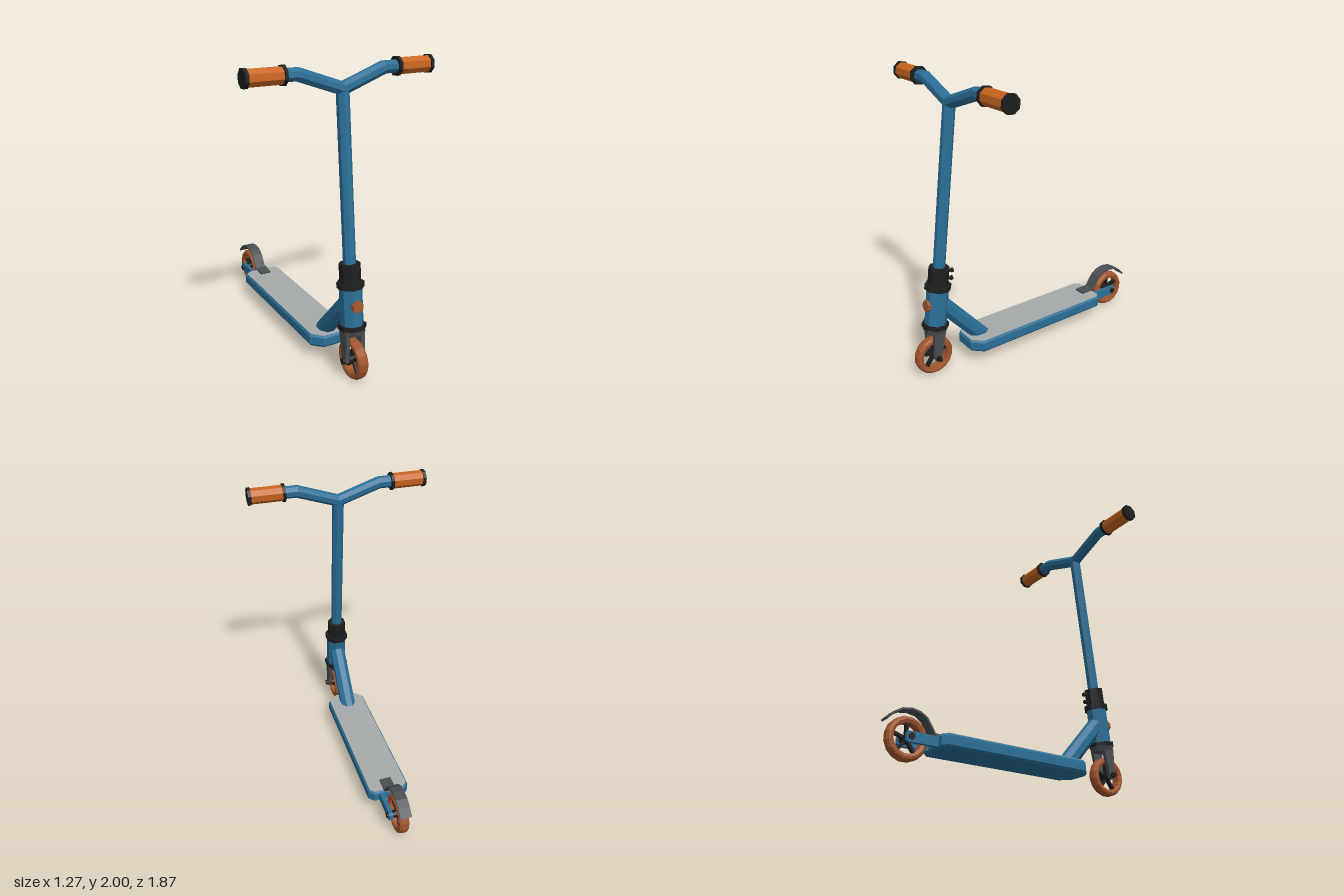
import * as THREE from 'three';

const mat = (name, color) => Object.assign(new THREE.MeshStandardMaterial({ color }), { name });

export function createModel() {
  const blue = mat('frameBlue', 0x2a6f97);
  const orange = mat('gripOrange', 0xc8651f);
  const brown = mat('wheelCopper', 0xa0552d);
  const black = mat('black', 0x1e1e1e);
  const grey = mat('darkGrey', 0x4a4f53);
  const tape = mat('deckGrey', 0xa6aaaa);

  // Faceted mesh with hard edges
  const add = (parent, name, geo, material, x = 0, y = 0, z = 0) => {
    const flat = geo.index ? geo.toNonIndexed() : geo;
    flat.computeVertexNormals();
    const mesh = new THREE.Mesh(flat, material);
    mesh.name = name;
    mesh.position.set(x, y, z);
    parent.add(mesh);
    return mesh;
  };
  // Octagonal prism measured across its flats, along y
  const cyl = (top, bottom, h) => {
    const k = Math.cos(Math.PI / 8);
    return new THREE.CylinderGeometry(top / k, bottom / k, h, 8).rotateY(Math.PI / 8);
  };
  const cylX = (r, h) => cyl(r, r, h).rotateZ(Math.PI / 2);
  const shapeOf = (pts) => new THREE.Shape(pts.map(([a, b]) => new THREE.Vector2(a, b)));
  // Side profile given as [z, y], extruded across x
  const plate = (pts, w) => new THREE.ExtrudeGeometry(shapeOf(pts), { depth: w, bevelEnabled: false })
    .translate(0, 0, -w / 2).rotateY(-Math.PI / 2);

  // Octagonal tube with mitred joints along a path in the xy plane
  const bentTube = (path, r) => {
    const R = r / Math.cos(Math.PI / 8), pos = [], idx = [];
    path.forEach(([x, y], i) => {
      const a = path[Math.max(i - 1, 0)], b = path[Math.min(i + 1, path.length - 1)];
      const unit = (p, q) => new THREE.Vector2(q[0] - p[0], q[1] - p[1]).normalize();
      const t0 = i ? unit(a, path[i]) : unit(path[i], b);
      const t1 = i < path.length - 1 ? unit(path[i], b) : t0;
      const t = t0.clone().add(t1).normalize();
      const stretch = 1 / t.dot(t0);
      for (let j = 0; j < 8; j++) {
        const ang = (j + 0.5) * Math.PI / 4;
        const n = Math.cos(ang) * R * stretch;
        pos.push(x - t.y * n, y + t.x * n, Math.sin(ang) * R);
        if (i) {
          const k = (j + 1) % 8, p = (i - 1) * 8, q = i * 8;
          idx.push(p + j, p + k, q + k, p + j, q + k, q + j);
        }
      }
    });
    const g = new THREE.BufferGeometry();
    g.setAttribute('position', new THREE.Float32BufferAttribute(pos, 3));
    g.setIndex(idx);
    return g;
  };

  const model = new THREE.Group();
  model.name = 'kickScooter';

  // Wheel with chamfered tyre, five spokes and hub
  const addWheel = (parent, name) => {
    const wheel = new THREE.Group();
    wheel.name = name;
    const profile = [[0.094, -0.03], [0.112, -0.037], [0.126, -0.033], [0.1355, -0.018], [0.1355, 0.018],
      [0.126, 0.033], [0.112, 0.037], [0.094, 0.03], [0.094, -0.03]].map(([r, h]) => new THREE.Vector2(r, h));
    add(wheel, 'tyre', new THREE.LatheGeometry(profile, 16).rotateY(Math.PI / 16).rotateZ(Math.PI / 2), brown);
    for (let i = 0; i < 5; i++) {
      const spoke = new THREE.BoxGeometry(0.03, 0.085, 0.016).translate(0, 0.054, 0);
      add(wheel, 'spoke', spoke.rotateX(i * Math.PI * 2 / 5), black);
    }
    add(wheel, 'hub', cylX(0.025, 0.08), black);
    add(wheel, 'axle', cylX(0.019, 0.168), black);
    parent.add(wheel);
    return wheel;
  };

  // Steering column: local y runs up the tilted steering axis from the axle
  const steering = new THREE.Group();
  steering.name = 'steering';
  steering.position.set(0, 0.1355, 0.8);
  steering.rotation.x = -0.12;
  model.add(steering);
  addWheel(steering, 'frontWheel').rotation.x = 0.12;

  const leg = [[-0.012, -0.024], [0.012, -0.024], [0.024, -0.008], [0.045, 0.2], [-0.045, 0.2], [-0.024, -0.008]];
  for (const s of [-1, 1]) add(steering, 'forkLeg', plate(leg, 0.026), grey, s * 0.057);
  add(steering, 'forkCrown', cyl(0.084, 0.068, 0.045), grey, 0, 0.197);
  add(steering, 'lowerHeadsetRing', cyl(0.085, 0.085, 0.025), black, 0, 0.226);
  add(steering, 'headTube', cyl(0.069, 0.069, 0.27), blue, 0, 0.36);
  add(steering, 'upperHeadsetRing', cyl(0.082, 0.082, 0.034), black, 0, 0.502);
  add(steering, 'clamp', cyl(0.064, 0.064, 0.13), black, 0, 0.577);
  add(steering, 'frontBadge', cyl(0.037, 0.037, 0.03).rotateX(Math.PI / 2), brown, 0, 0.375, 0.07);
  for (const y of [0.545, 0.6]) {
    add(steering, 'clampBolt', cyl(0.009, 0.009, 0.05).rotateX(Math.PI / 2), black, 0, y, -0.08);
    add(steering, 'clampBoltHead', cyl(0.014, 0.014, 0.014).rotateX(Math.PI / 2), black, 0, y, -0.1);
  }
  add(steering, 'stem', cyl(0.038, 0.038, 1.13), blue, 0, 1.165);

  // Handlebar and grips
  const barY = 1.82;
  add(steering, 'handlebar', bentTube([[-0.45, barY], [-0.295, barY], [0, barY - 0.104],
    [0.295, barY], [0.45, barY]], 0.039), blue);
  for (const s of [-1, 1]) {
    add(steering, 'grip', cylX(0.05, 0.235), orange, s * 0.505, barY);
    add(steering, 'gripCollar', cylX(0.058, 0.02), black, s * 0.387, barY);
    add(steering, 'gripEndCap', cylX(0.056, 0.022), black, s * 0.623, barY);
  }

  // Deck with chamfered corners and bevelled rim
  const outline = (w, zf, zb, cf, cb) => shapeOf([[w, zf - cf], [w - cf, zf], [cf - w, zf], [-w, zf - cf],
    [-w, zb + cb], [cb - w, zb], [w - cb, zb], [w, zb + cb]]);
  const deck = new THREE.ExtrudeGeometry(outline(0.133, 0.54, -0.597, 0.065, 0.028),
    { depth: 0.056, bevelEnabled: true, bevelSegments: 1, bevelSize: 0.011, bevelThickness: 0.014 });
  add(model, 'deck', deck.translate(0, 0, -0.028).rotateX(Math.PI / 2), blue, 0, 0.136);
  const tapeGeo = new THREE.ExtrudeGeometry(outline(0.133, 0.54, -0.597, 0.065, 0.028),
    { depth: 0.004, bevelEnabled: false });
  add(model, 'gripTape', tapeGeo.rotateX(Math.PI / 2), tape, 0, 0.181);

  // Diagonal tube joining the head tube to the deck
  const diagonal = add(model, 'downTube', cyl(0.055, 0.055, 0.51), blue, 0, 0.328, 0.57);
  diagonal.rotation.x = 0.725;

  // Rear dropouts and wheel
  const dropout = [[-0.56, 0.167], [-0.805, 0.167], [-0.816, 0.155], [-0.816, 0.115], [-0.805, 0.103], [-0.56, 0.103]];
  for (const s of [-1, 1]) add(model, 'rearDropout', plate(dropout.slice().reverse(), 0.027), blue, s * 0.059);
  addWheel(model, 'rearWheel').position.set(0, 0.1355, -0.787);

  // Bent fender brake over the rear wheel
  const upper = [[-0.505, 0.193], [-0.61, 0.193], [-0.634, 0.232], [-0.667, 0.279], [-0.714, 0.309],
    [-0.772, 0.32], [-0.838, 0.31], [-0.89, 0.28], [-0.936, 0.234]];
  const lower = [[-0.505, 0.181], [-0.617, 0.181], [-0.643, 0.225], [-0.674, 0.269], [-0.718, 0.298],
    [-0.772, 0.308], [-0.834, 0.299], [-0.882, 0.271], [-0.927, 0.226]];
  add(model, 'fenderBrake', plate([...upper, ...lower.reverse()], 0.08), grey);

  return model;
}
